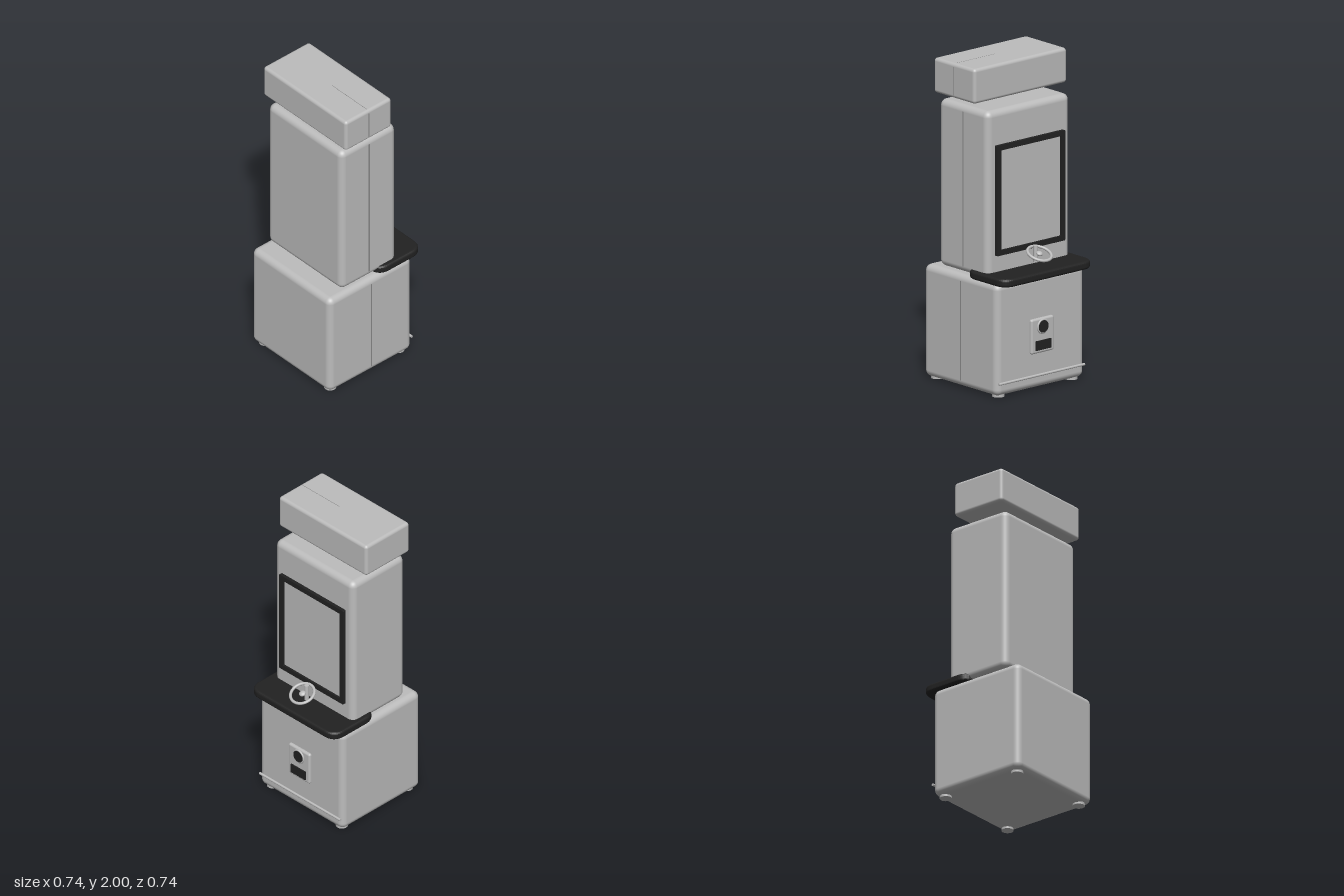
import * as THREE from 'three';
import { RoundedBoxGeometry } from 'three/addons/geometries/RoundedBoxGeometry.js';

const material = (name, color) => {
  const m = new THREE.MeshStandardMaterial({ color });
  m.name = name;
  return m;
};

// Rounded rectangle outline, as a shape or a hole
function roundedRect(w, h, r, Kind = THREE.Shape) {
  const s = new Kind(), x = w / 2, y = h / 2;
  s.moveTo(-x + r, -y);
  s.lineTo(x - r, -y); s.quadraticCurveTo(x, -y, x, -y + r);
  s.lineTo(x, y - r); s.quadraticCurveTo(x, y, x - r, y);
  s.lineTo(-x + r, y); s.quadraticCurveTo(-x, y, -x, y - r);
  s.lineTo(-x, -y + r); s.quadraticCurveTo(-x, -y, -x + r, -y);
  return s;
}

export function createModel() {
  const grey = material('light grey', 0xbcbcbc);
  const black = material('black', 0x222222);
  const seamGrey = material('seam grey', 0x8a8a8a);
  const model = new THREE.Group();
  model.name = 'arcadeCabinet';

  const add = (name, geometry, mat, x, y, z, parent = model) => {
    const mesh = new THREE.Mesh(geometry, mat);
    mesh.name = name;
    mesh.position.set(x, y, z);
    parent.add(mesh);
    return mesh;
  };
  // Rounded box given by its extents
  const block = (name, w, y0, y1, z0, z1, r) =>
    add(name, new RoundedBoxGeometry(w, y1 - y0, z1 - z0, 5, r), grey,
      0, (y0 + y1) / 2, (z0 + z1) / 2);

  // Three stacked cabinet blocks
  block('base', 0.70, 0.012, 0.703, -0.29, 0.368, 0.04);
  block('upperCabinet', 0.66, 0.712, 1.742, -0.183, 0.256, 0.04);
  block('marquee', 0.738, 1.785, 2.0, -0.11, 0.256, 0.02);

  // Thin seams on the left side
  const seam = (name, x, y0, y1, z, w) =>
    add(name, new THREE.BoxGeometry(0.004, y1 - y0, w), seamGrey, x, (y0 + y1) / 2, z);
  seam('baseSeam', 0.35, 0.05, 0.665, 0.035, 0.008);
  seam('upperSeam', 0.33, 0.75, 1.705, 0.035, 0.008);
  seam('marqueeSeam', 0.369, 1.805, 1.98, 0.073, 0.004);
  add('marqueeTopSeam', new THREE.BoxGeometry(0.31, 0.002, 0.003), seamGrey, 0.197, 1.9995, 0.073);

  // Feet
  for (const x of [-0.29, 0.29])
    for (const z of [-0.235, 0.31])
      add('foot', new THREE.CylinderGeometry(0.037, 0.037, 0.04, 24), grey, x, 0.02, z);

  // Control shelf with softened edges
  const shelf = new THREE.ExtrudeGeometry(roundedRect(0.69, 0.325, 0.07), {
    depth: 0.02, bevelEnabled: true, bevelThickness: 0.015, bevelSize: 0.015,
    bevelSegments: 4, curveSegments: 10,
  });
  shelf.rotateX(-Math.PI / 2);
  add('controlShelf', shelf, black, 0, 0.713, -0.192);

  // Screen and its frame
  const frameShape = roundedRect(0.54, 0.68, 0.006);
  frameShape.holes.push(roundedRect(0.476, 0.616, 0.004, THREE.Path));
  const frame = new THREE.ExtrudeGeometry(frameShape, { depth: 0.022, bevelEnabled: false });
  add('screenFrame', frame, black, 0, 1.19, -0.204);
  add('screen', new THREE.BoxGeometry(0.48, 0.62, 0.009), grey, 0, 1.19, -0.186);

  // Tilted steering wheel
  const wheel = new THREE.Group();
  wheel.name = 'steeringWheel';
  wheel.position.set(0, 0.834, -0.277);
  wheel.rotation.x = -0.4;
  model.add(wheel);
  const rim = new THREE.TorusGeometry(0.074, 0.009, 14, 48);
  rim.rotateX(Math.PI / 2);
  add('wheelRim', rim, grey, 0, 0, 0, wheel);
  add('wheelHub', new THREE.SphereGeometry(0.021, 24, 16), grey, 0, 0, 0, wheel).scale.y = 0.6;
  add('steeringColumn', new THREE.CylinderGeometry(0.014, 0.014, 0.1, 24), grey, 0, 0.825, -0.242);

  // Coin panel
  add('coinPanel', new RoundedBoxGeometry(0.18, 0.215, 0.03, 4, 0.013), grey, 0, 0.337, -0.293);
  add('coinRing', new THREE.TorusGeometry(0.041, 0.006, 12, 36), grey, 0, 0.392, -0.309);
  const button = new THREE.CylinderGeometry(0.038, 0.038, 0.012, 36);
  button.rotateX(Math.PI / 2);
  add('coinButton', button, black, 0, 0.392, -0.31);
  add('coinSlot', new THREE.BoxGeometry(0.12, 0.058, 0.012), black, 0, 0.28, -0.31);

  // Foot rail
  const rail = new THREE.CylinderGeometry(0.008, 0.008, 0.68, 16);
  rail.rotateZ(Math.PI / 2);
  add('footRail', rail, grey, 0, 0.092, -0.296);

  return model;
}
